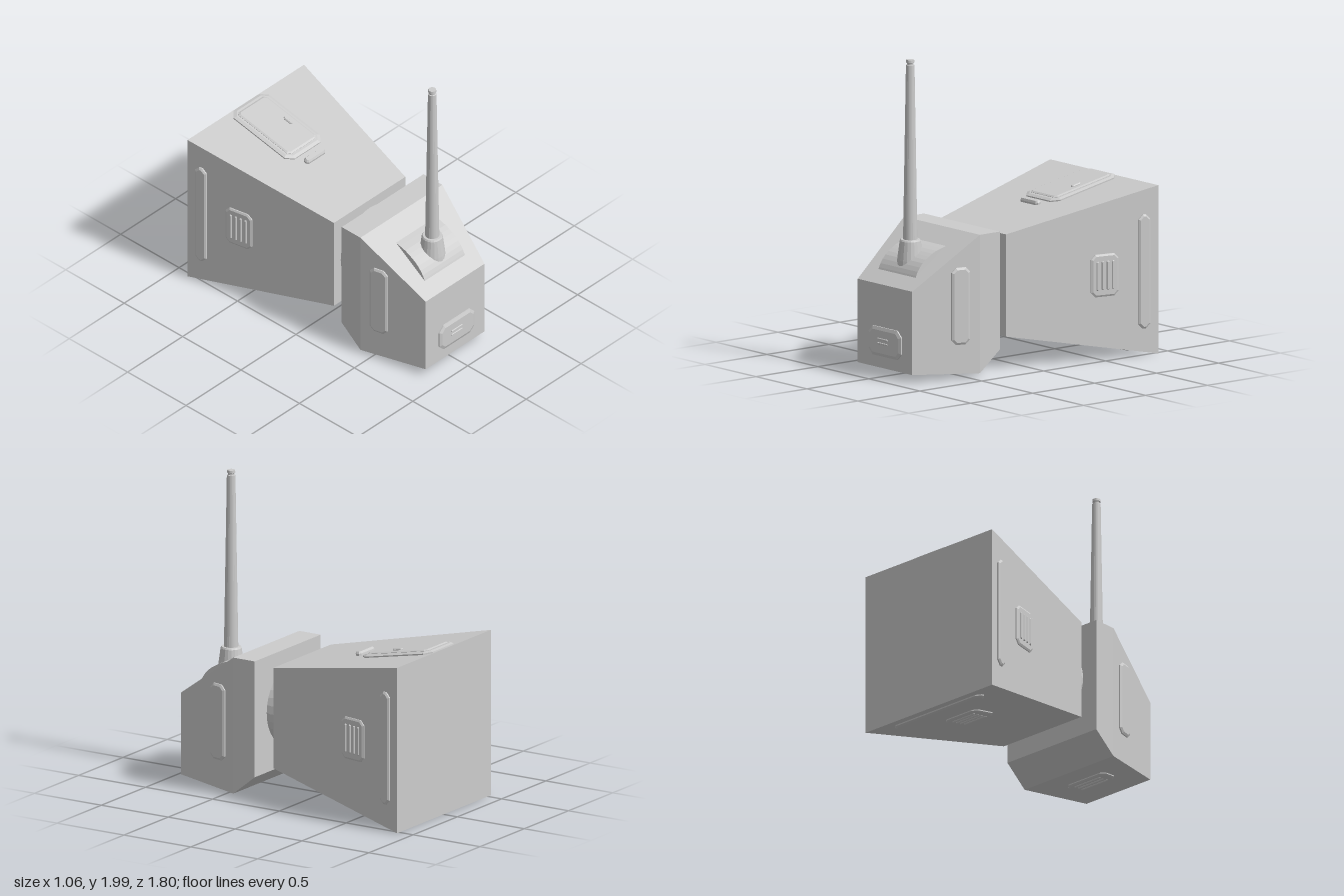
import * as THREE from 'three';

export function createModel() {
  const model = new THREE.Group();
  const grey = new THREE.MeshStandardMaterial({ color: 0xcccccc });

  const add = (name, geometry, parent = model) => {
    const mesh = new THREE.Mesh(geometry, grey);
    mesh.name = name;
    parent.add(mesh);
    return mesh;
  };
  const faceted = (geometry) => {
    const g = geometry.toNonIndexed();
    g.computeVertexNormals();
    return g;
  };

  // Closed body through rectangular rings [z, x0, x1, y0, y1], listed back to front
  function loft(rings) {
    const pts = rings.map(([z, x0, x1, y0, y1]) => [[x0, y0, z], [x1, y0, z], [x1, y1, z], [x0, y1, z]]);
    const pos = [];
    const quad = (a, b, c, d) => pos.push(...a, ...b, ...c, ...a, ...c, ...d);
    for (let i = 0; i < pts.length - 1; i++) {
      for (let j = 0; j < 4; j++) {
        const k = (j + 1) % 4;
        quad(pts[i][j], pts[i][k], pts[i + 1][k], pts[i + 1][j]);
      }
    }
    const back = pts[0], front = pts[pts.length - 1];
    quad(back[3], back[2], back[1], back[0]);
    quad(front[0], front[1], front[2], front[3]);
    const g = new THREE.BufferGeometry();
    g.setAttribute('position', new THREE.Float32BufferAttribute(pos, 3));
    g.computeVertexNormals();
    return g;
  }

  // Bevelled plate with cut corners, its top t above the local xy plane
  function plate(w, h, t, cut, bevel) {
    const x = w / 2, y = h / 2;
    const shape = new THREE.Shape([
      [x - cut, -y], [x, cut - y], [x, y - cut], [x - cut, y],
      [cut - x, y], [-x, y - cut], [-x, cut - y], [cut - x, -y],
    ].map(([a, b]) => new THREE.Vector2(a, b)));
    return new THREE.ExtrudeGeometry(shape, {
      depth: t, bevelThickness: t / 2, bevelSize: bevel, bevelOffset: -bevel, bevelSegments: 1,
    }).translate(0, 0, -t / 2);
  }

  // Group lying on a surface: local z along the normal, local y along up
  function mount(name, at, normal, up) {
    const n = new THREE.Vector3(...normal).normalize();
    const v = new THREE.Vector3(...up).normalize();
    const group = new THREE.Group();
    group.name = name;
    group.quaternion.setFromRotationMatrix(
      new THREE.Matrix4().makeBasis(new THREE.Vector3().crossVectors(v, n), v, n));
    group.position.set(...at);
    model.add(group);
    return group;
  }

  function vent(name, at, normal, up, w, h, ribs) {
    const group = mount(name, at, normal, up);
    add('ventFrame', plate(w, h, 0.013, 0.03, 0.012), group);
    for (let i = 0; i < ribs; i++) {
      const rib = add('ventRib', plate(w * 0.09, h * 0.68, 0.01, 0.005, 0.004), group);
      rib.position.set(((i + 0.5) / ribs - 0.5) * w * 0.75, 0, 0.011);
    }
  }

  // Main volumes
  add('rearBody', loft([[-0.9, -0.53, 0.53, 0.01, 1.08], [0.16, -0.325, 0.325, 0.22, 0.87]]));
  add('frontBody', loft([
    [0.26, -0.36, 0.385, 0.16, 0.91],
    [0.42, -0.36, 0.385, 0.03, 0.91],
    [0.88, -0.255, 0.28, 0.06, 0.59],
  ]));

  // Round joint between the two bodies
  const neck = (r, z0, z1) => faceted(new THREE.CylinderGeometry(r, r, z1 - z0, 32))
    .rotateX(Math.PI / 2).translate(0, 0.545, (z0 + z1) / 2);
  add('neck', neck(0.263, 0.15, 0.235));
  add('neckCollar', neck(0.25, 0.23, 0.27));

  // Curved antenna mount on the sloping face
  const arc = new THREE.SplineCurve([
    [0.79, 0.648], [0.77, 0.69], [0.73, 0.74], [0.68, 0.775], [0.62, 0.805], [0.54, 0.826],
  ].map(([z, y]) => new THREE.Vector2(z, y))).getPoints(10);
  const dome = new THREE.Shape([...arc, new THREE.Vector2(0.54, 0.7), new THREE.Vector2(0.7, 0.62)]);
  add('antennaMount', new THREE.ExtrudeGeometry(dome, { depth: 0.365, bevelEnabled: false })
    .rotateY(-Math.PI / 2).translate(0.2, 0, 0));

  // Antenna with flared socket and notched tip
  const lathe = (points) => faceted(new THREE.LatheGeometry(
    points.map(([r, y]) => new THREE.Vector2(r, y)), 20)).translate(0.017, 0, 0.68);
  add('antennaSocket', lathe([[0.088, 0.66], [0.082, 0.73], [0.066, 0.85], [0.06, 0.86], [0, 0.86]]));
  add('antennaRod', lathe([
    [0.045, 0.85], [0.027, 1.968], [0.021, 1.97], [0.021, 1.98], [0.026, 1.984], [0.025, 2], [0, 2],
  ]));

  // Side fittings on both bodies
  for (const s of [-1, 1]) {
    const side = s < 0 ? 'right' : 'left';
    const rearNormal = [s * 1.06, 0, 0.205];
    vent(side + 'Vent', [s * 0.4575, 0.545, -0.525], rearNormal, [0, 1, 0], 0.195, 0.27, 4);
    add('sideStrip', plate(0.083, 0.725, 0.016, 0.03, 0.012),
      mount(side + 'RearStrip', [s * 0.511, 0.5425, -0.8], rearNormal, [0, 1, 0]));
    const panel = mount(side + 'FrontPanel', [0.0125 + s * 0.342, 0.47, 0.5525], [s * 0.46, 0, 0.105], [0, 1, 0]);
    add('sidePanel', plate(0.128, 0.49, 0.016, 0.03, 0.014), panel);
  }

  // Underside fittings
  const under = [0, -1.06, 0.21];
  vent('rearUnderVent', [0, 0.084, -0.525], under, [1, 0, 0], 0.195, 0.27, 4);
  add('underStrip', plate(0.083, 0.725, 0.016, 0.03, 0.012),
    mount('rearUnderStrip', [0, 0.03, -0.8], under, [1, 0, 0]));
  vent('frontUnderVent', [0.0125, 0.0434, 0.625], [0, -0.46, 0.03], [1, 0, 0], 0.13, 0.32, 3);

  // Roof hatch with handle and a step bar before it
  const roof = [0, 1.06, 0.21], along = [0, 0.21, -1.06];
  const hatch = mount('roofHatch', [-0.003, 1.027, -0.632], roof, along);
  add('hatchFrame', plate(0.325, 0.533, 0.016, 0.045, 0.02), hatch);
  add('hatchDoor', plate(0.26, 0.46, 0.012, 0.02, 0.012), hatch).position.z = 0.012;
  add('hatchHandle', plate(0.025, 0.072, 0.012, 0.008, 0.005), hatch).position.set(0.08, -0.02, 0.022);
  add('stepBar', plate(0.168, 0.044, 0.026, 0.012, 0.008),
    mount('roofStep', [-0.003, 0.962, -0.31], roof, along));

  // Front panel with two small grips
  const nose = mount('nosePanel', [0.02, 0.2275, 0.88], [0, 0, 1], [0, 1, 0]);
  add('noseFrame', plate(0.32, 0.185, 0.016, 0.04, 0.02), nose);
  for (const [x, y] of [[-0.01, 0.018], [-0.01, -0.01]]) {
    add('noseGrip', plate(0.1, 0.012, 0.006, 0.004, 0.003), nose).position.set(x, y, 0.016);
  }

  return model;
}
